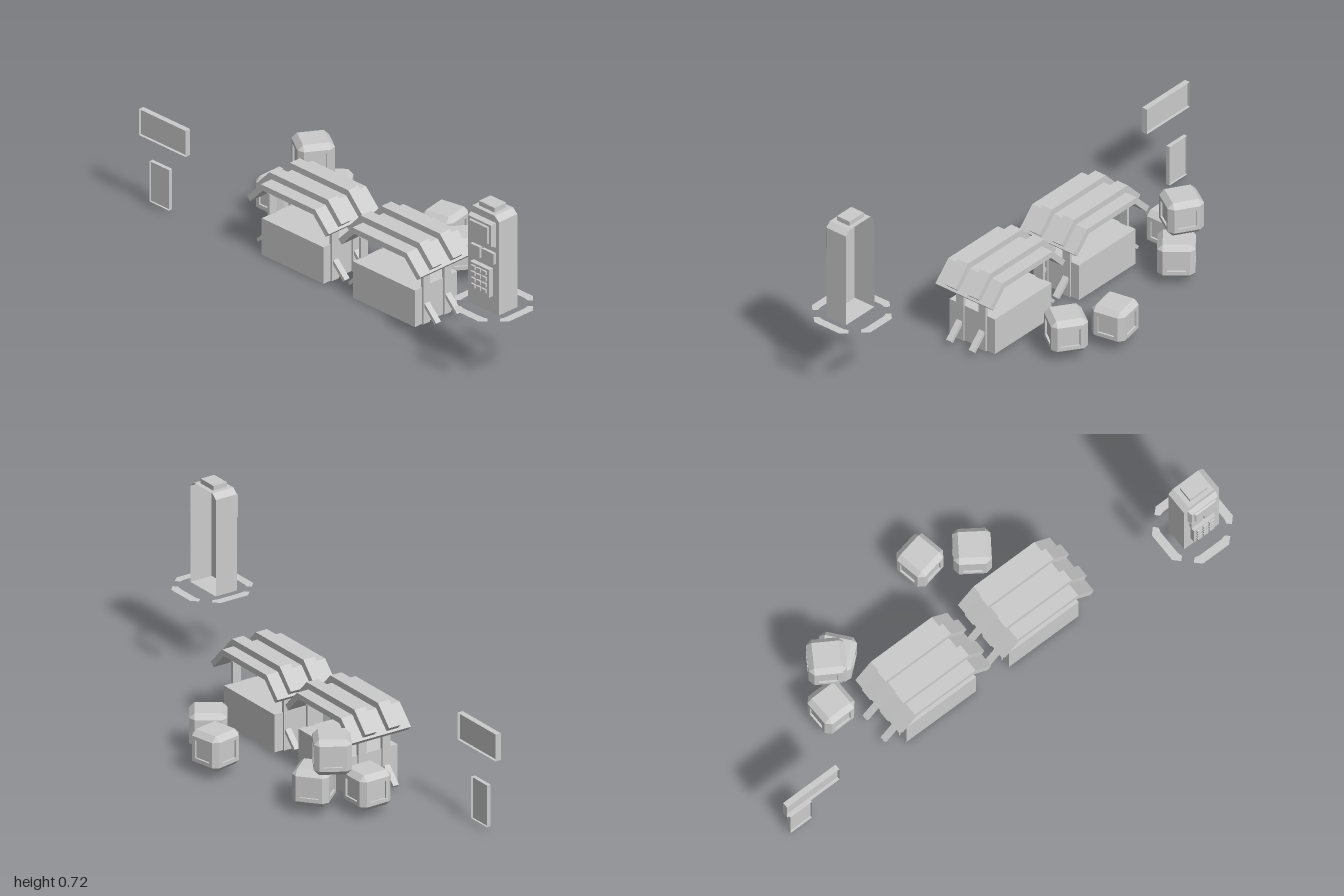
import * as THREE from 'three';

const grey = new THREE.MeshStandardMaterial({ color: 0xcccccc, flatShading: true, side: THREE.DoubleSide });

function add(parent, name, geometry, x = 0, y = 0, z = 0) {
  const mesh = new THREE.Mesh(geometry, grey);
  mesh.name = name;
  mesh.position.set(x, y, z);
  parent.add(mesh);
  return mesh;
}

function group(parent, name, x = 0, y = 0, z = 0) {
  const g = new THREE.Group();
  g.name = name;
  g.position.set(x, y, z);
  parent.add(g);
  return g;
}

const box = (w, h, d) => new THREE.BoxGeometry(w, h, d);
const shapeOf = (pts) => new THREE.Shape(pts.map(([x, y]) => new THREE.Vector2(x, y)));
const rect = (w, h) => [[-w / 2, -h / 2], [w / 2, -h / 2], [w / 2, h / 2], [-w / 2, h / 2]];

function fromPositions(pos) {
  const g = new THREE.BufferGeometry();
  g.setAttribute('position', new THREE.Float32BufferAttribute(pos, 3));
  g.computeVertexNormals();
  return g;
}

// Thin wall that follows a counter-clockwise outline from z0 to z1
function wall(outline, z0, z1) {
  const pos = [];
  outline.forEach(([ax, ay], i) => {
    const [bx, by] = outline[(i + 1) % outline.length];
    pos.push(ax, ay, z0, bx, by, z0, bx, by, z1, ax, ay, z0, bx, by, z1, ax, ay, z1);
  });
  return fromPositions(pos);
}

// Square frustum facing +z: w x h at the back, inset at the front
function bevelPlate(w, h, d, inset) {
  const g = box(w, h, d);
  const p = g.attributes.position;
  for (let i = 0; i < p.count; i++) {
    if (p.getZ(i) > 0) p.setXY(i, p.getX(i) * (1 - 2 * inset / w), p.getY(i) * (1 - 2 * inset / h));
  }
  g.computeVertexNormals();
  return g;
}

// Market stall: counter, posts, slanted feet and ribbed canopy
function stall(parent, name, x) {
  const s = group(parent, name, x, 0, 0.073);
  add(s, 'counter', box(0.32, 0.15, 0.215), 0, 0.075, 0);
  for (const side of [-1, 1]) {
    for (const z of [-0.053, 0.054]) {
      add(s, 'post', box(0.012, 0.235, 0.035), side * 0.161, 0.1175, z);
      const foot = add(s, 'slantedFoot', box(0.085, 0.013, 0.025), side * 0.194, 0.05, z);
      foot.rotation.z = -side * Math.PI / 4;
    }
  }
  const canopy = (half, top, end, t, depth) => {
    const right = [[half, top], [end[0], end[1]], [end[0] - t * 0.72, end[1] - t * 0.72], [half - t * 0.42, top - t]];
    const left = right.map(([px, py]) => [-px, py]).reverse();
    const g = new THREE.ExtrudeGeometry(shapeOf([...right, ...left]), { depth, bevelEnabled: false });
    return g.translate(0, 0, -depth / 2);
  };
  add(s, 'canopy', canopy(0.14, 0.306, [0.212, 0.232], 0.023, 0.261), 0, 0, 0.001);
  for (const z of [-0.053, 0.052]) {
    add(s, 'canopyRib', canopy(0.151, 0.331, [0.222, 0.256], 0.026, 0.05), 0, 0, z);
  }
}

// Chamfered edges and corners of a cube: a = face half size, h = cube half size
function chamfers(a, h) {
  const pos = [];
  const tri = (...v) => {
    const n = v[1].clone().sub(v[0]).cross(v[2].clone().sub(v[0]));
    if (n.dot(v[0]) < 0) v.reverse();
    v.forEach((p) => pos.push(p.x, p.y, p.z));
  };
  const corner = (signs, axis) => new THREE.Vector3(...signs.map((s, i) => s * (i === axis ? h : a)));
  for (const s of [-1, 1]) {
    for (const t of [-1, 1]) {
      for (const u of [-1, 1]) tri(...[0, 1, 2].map((k) => corner([s, t, u], k)));
      for (let k = 0; k < 3; k++) {
        const i = (k + 1) % 3, j = (k + 2) % 3;
        const ends = [-1, 1].map((u) => {
          const signs = [0, 0, 0];
          signs[k] = u; signs[i] = s; signs[j] = t;
          return [corner(signs, i), corner(signs, j)];
        });
        tri(ends[0][0], ends[0][1], ends[1][1]);
        tri(ends[0][0], ends[1][1], ends[1][0]);
      }
    }
  }
  return fromPositions(pos);
}

// Crate with recessed panels on its four sides
function crate(parent, x, y, z, degrees) {
  const c = group(parent, 'crate', x, y, z);
  c.rotation.y = THREE.MathUtils.degToRad(degrees);
  add(c, 'chamferedEdges', chamfers(0.05, 0.07));
  const r = Math.SQRT2;
  const profile = [[0.05 * r, 0.07], [0.035 * r, 0.07], [0.035 * r, 0.062], [0, 0.062]];
  const face = new THREE.LatheGeometry(profile.map(([px, py]) => new THREE.Vector2(px, py)), 4)
    .rotateY(Math.PI / 4).rotateX(Math.PI / 2);
  for (let i = 0; i < 4; i++) add(c, 'sidePanel', face).rotation.y = i * Math.PI / 2;
  for (const s of [-1, 1]) {
    add(c, s > 0 ? 'lid' : 'base', new THREE.PlaneGeometry(0.1, 0.1), 0, s * 0.07, 0).rotation.x = -s * Math.PI / 2;
  }
}

// Kiosk shell, open at the back, with screen, slots and keypad
function kiosk(parent) {
  const k = group(parent, 'kiosk', 0.855, 0.3, 0.252);
  const outline = [[-0.08, 0], [0.08, 0], [0.08, 0.383], [0.058, 0.402], [-0.058, 0.402], [-0.08, 0.383]];
  add(k, 'shellSides', wall(outline, -0.047, 0.047));
  add(k, 'shellFront', new THREE.ShapeGeometry(shapeOf(outline)), 0, 0, 0.047);
  add(k, 'topCap', box(0.08, 0.02, 0.06), 0, 0.411, 0);
  add(k, 'screenFrame', bevelPlate(0.13, 0.1, 0.02, 0.006), 0, 0.325, 0.057);
  add(k, 'screen', bevelPlate(0.098, 0.072, 0.008, 0.004), 0, 0.325, 0.07);
  add(k, 'cardSlot', box(0.05, 0.044, 0.013), -0.031, 0.23, 0.0535);
  add(k, 'coinSlot', box(0.062, 0.044, 0.013), 0.035, 0.23, 0.0535);
  add(k, 'keypad', box(0.1, 0.114, 0.02), 0, 0.126, 0.057);
  for (let row = 0; row < 4; row++) {
    for (let col = -1; col <= 1; col++) {
      add(k, 'key', box(0.022, 0.015, 0.008), col * 0.028, 0.092 + row * 0.025, 0.071);
    }
  }
  // Flat floor marking in four bracket-shaped pieces
  const half = [[0.06, 0.14], [0.084, 0.117], [0.07, 0.102], [0.05, 0.107]];
  const bracket = shapeOf([...half, ...half.map(([x, y]) => [-x, y]).reverse()]);
  const flat = new THREE.ShapeGeometry(bracket).rotateX(-Math.PI / 2);
  for (let i = 0; i < 4; i++) add(k, 'floorMarking', flat, 0, 0.001, -0.007).rotation.y = i * Math.PI / 2;
}

// Thin panel held inside a rim
function sign(parent, name, w, h, d, x, y, z) {
  const s = group(parent, name, x, y, z);
  add(s, 'rim', wall(rect(w, h), -d / 2, d / 2));
  add(s, 'panel', new THREE.PlaneGeometry(w, h));
}

export function createModel() {
  const model = new THREE.Group();
  model.name = 'marketSet';
  stall(model, 'rightStall', -0.252);
  stall(model, 'leftStall', 0.221);

  // Crates: x, y, z, turn in degrees
  [
    [-0.569, 0.105, -0.065, 1],
    [-0.505, 0.245, -0.175, -32],
    [-0.437, 0.105, -0.208, -50],
    [0.035, 0.105, -0.315, 11],
    [0.206, 0.105, -0.226, -35],
  ].forEach((c) => crate(model, ...c));

  kiosk(model);
  sign(model, 'wideSign', 0.242, 0.107, 0.023, -0.879, 0.342, 0.216);
  sign(model, 'tallSign', 0.1, 0.166, 0.016, -0.917, 0.102, 0.197);
  return model;
}
